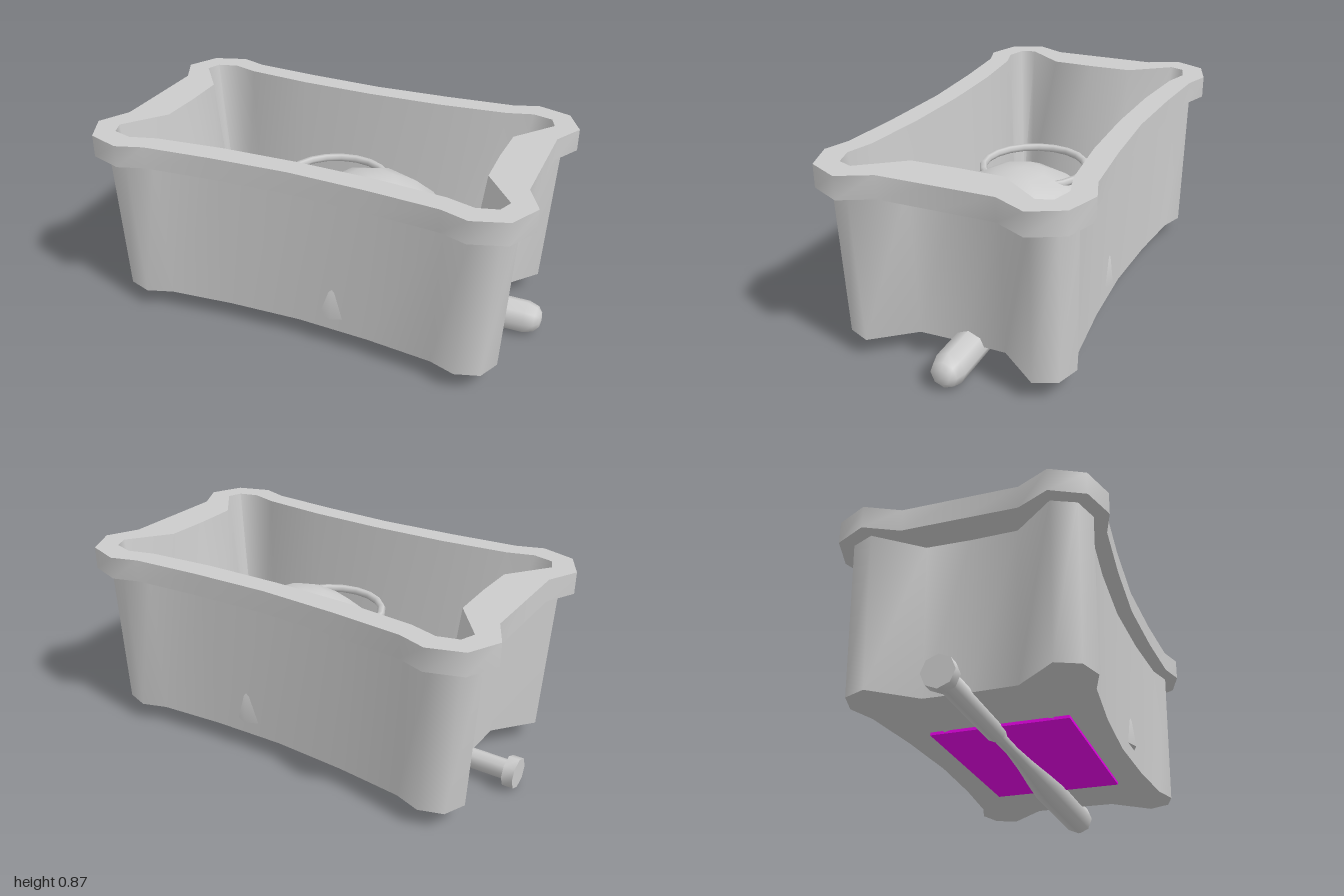
import * as THREE from 'three';
import { toCreasedNormals } from 'three/addons/utils/BufferGeometryUtils.js';

const grey = new THREE.MeshStandardMaterial({ color: 0xcccccc });
const greyDouble = new THREE.MeshStandardMaterial({ color: 0xcccccc, side: THREE.DoubleSide });
const magenta = new THREE.MeshStandardMaterial({ color: 0xe800e8 });

function add(parent, name, geometry, material = grey) {
  const mesh = new THREE.Mesh(geometry, material);
  mesh.name = name;
  parent.add(mesh);
  return mesh;
}

// Mirrors a quarter outline (from +x to +z) into a closed loop
function mirrorQuarter(q) {
  const half = [...q, ...q.slice(0, -1).reverse().map(([x, z]) => [-x, z])];
  return [...half, ...half.slice(1, -1).reverse().map(([x, z]) => [x, -z])];
}

// Skins a chain of [outline, y, scale] loops
function loft(levels) {
  const n = levels[0][0].length, pos = [], index = [];
  for (const [loop, y, s = 1] of levels) for (const [x, z] of loop) pos.push(x * s, y, z * s);
  for (let i = 0; i < levels.length - 1; i++) {
    for (let j = 0; j < n; j++) {
      const a = i * n + j, b = i * n + (j + 1) % n, c = a + n, d = b + n;
      index.push(a, c, b, b, c, d);
    }
  }
  const g = new THREE.BufferGeometry();
  g.setAttribute('position', new THREE.Float32BufferAttribute(pos, 3));
  g.setIndex(index);
  return toCreasedNormals(g, 1.25);
}

// Arched visor that slopes down toward -x; its drooping corners just pierce the floor
function visorGeometry() {
  const g = new THREE.PlaneGeometry(1, 1, 8, 10), p = g.attributes.position;
  for (let i = 0; i < p.count; i++) {
    const v = p.getY(i) * 2, u = p.getX(i) + 0.5;
    const z = v * 0.24;
    const x = THREE.MathUtils.lerp(0, -0.15 - 0.34 * Math.sqrt(1 - 0.25 * v * v), u);
    const lowest = 0.115 - 0.032 * v * v * u;
    p.setXYZ(i, x, Math.max(0.15 + (x + 0.35) * 0.5 - 2.3 * z * z, lowest), z);
  }
  g.computeVertexNormals();
  return g;
}

export function createModel() {
  const model = new THREE.Group();
  model.name = 'basinWithBat';

  // Tub: outer wall with recessed ends, overhanging rim, sloping inside and floor
  const rim = mirrorQuarter([[0.93, 0], [0.93, 0.25], [1, 0.39], [0.93, 0.53],
    [0.78, 0.58], [0.66, 0.54], [0.35, 0.515], [0, 0.5]]);
  const wall = mirrorQuarter([[0.78, 0], [0.785, 0.2], [0.935, 0.38], [0.89, 0.48],
    [0.78, 0.515], [0.66, 0.475], [0.35, 0.445], [0, 0.43]]);
  const inner = mirrorQuarter([[0.745, 0], [0.75, 0.2], [0.89, 0.385], [0.865, 0.45],
    [0.775, 0.475], [0.655, 0.44], [0.35, 0.41], [0, 0.4]]);
  const floor = mirrorQuarter([[0.65, 0], [0.66, 0.19], [0.77, 0.35], [0.78, 0.4],
    [0.71, 0.425], [0.62, 0.39], [0.33, 0.36], [0, 0.345]]);
  const foot = wall.map(([x, z]) => [x * 0.965, z * 0.988]);
  add(model, 'tub', loft([
    [foot, 0.091, 0], [foot, 0.091], [wall, 0.77], [rim, 0.77], [rim, 0.87],
    [inner, 0.87], [floor, 0.15], [floor, 0.15, 0],
  ]));

  // Coloured panel set into the floor
  add(model, 'floorPanel', new THREE.BoxGeometry(0.86, 0.077, 0.61), magenta).position.y = 0.1165;

  // Cap: eight-sided dome, ring and visor
  const cap = new THREE.Group();
  cap.name = 'cap';
  model.add(cap);
  const dome = add(cap, 'dome', new THREE.SphereGeometry(0.455, 8, 6, 0, Math.PI * 2, 0, Math.PI / 2));
  dome.scale.y = 1.08;
  dome.position.set(0.168, 0.16, 0);
  const base = add(cap, 'domeBase', new THREE.CircleGeometry(0.455, 8));
  base.rotation.x = Math.PI / 2;
  base.position.set(0.168, 0.16, 0);
  const ring = add(cap, 'ring', new THREE.TorusGeometry(0.238, 0.018, 6, 20));
  ring.rotation.x = Math.PI / 2;
  ring.position.y = 0.595;
  add(cap, 'visor', visorGeometry(), greyDouble);

  // Bat lying under the tub, knob at -x and barrel at +x
  const profile = [[0, -0.99], [0.07, -0.99], [0.07, -0.94], [0.045, -0.94], [0.045, -0.38],
    [0.03, -0.32], [0.03, -0.18], [0.042, 0], [0.062, 0.2], [0.075, 0.36], [0.075, 0.93],
    [0.06, 0.975], [0.035, 0.995], [0, 1]].map(([r, x]) => new THREE.Vector2(r, x));
  const bat = add(model, 'bat', toCreasedNormals(new THREE.LatheGeometry(profile, 8), 0.9));
  bat.rotation.z = -Math.PI / 2;
  bat.position.set(0, 0.077, -0.03);

  return model;
}
